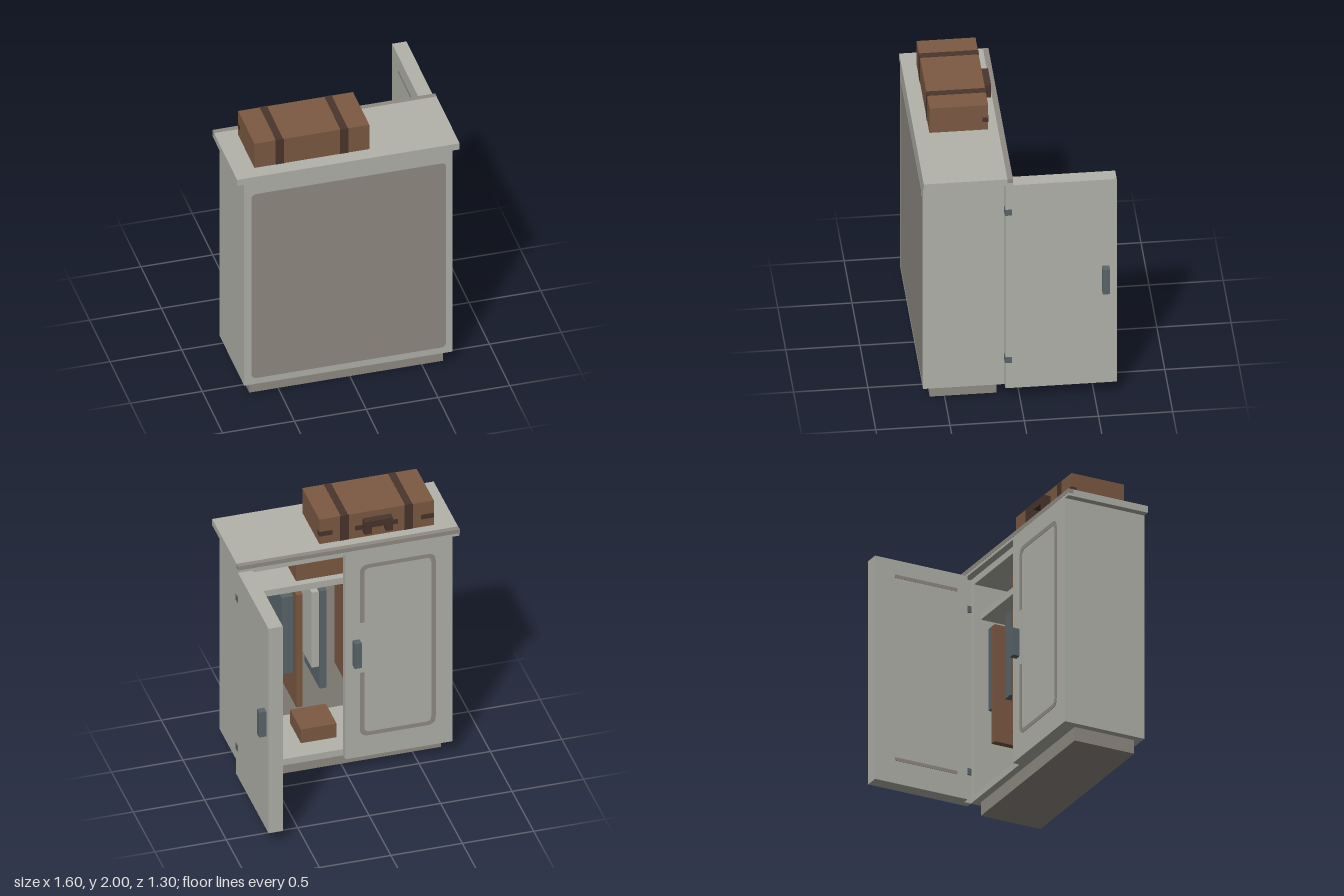
import * as THREE from 'three';

const mat = (name, color) => {
  const m = new THREE.MeshStandardMaterial({ color });
  m.name = name;
  return m;
};

export function createModel() {
  const pale = mat('pale painted wood', 0xb3b3ac);
  const taupe = mat('taupe panel', 0x918b84);
  const leather = mat('brown leather', 0x7d5a43);
  const dark = mat('dark brown strap', 0x4a352c);
  const slate = mat('slate metal', 0x5a666b);

  const model = new THREE.Group();
  model.name = 'wardrobe';
  const group = (name) => {
    const g = new THREE.Group();
    g.name = name;
    model.add(g);
    return g;
  };
  // Box given by its minimum and maximum on each axis
  const box = (parent, name, m, x0, x1, y0, y1, z0, z1) => {
    const mesh = new THREE.Mesh(new THREE.BoxGeometry(x1 - x0, y1 - y0, z1 - z0), m);
    mesh.position.set((x0 + x1) / 2, (y0 + y1) / 2, (z0 + z1) / 2);
    mesh.name = name;
    parent.add(mesh);
    return mesh;
  };
  const rounded = (Type, w, h, r) => {
    const s = new Type(), a = w / 2, b = h / 2;
    s.moveTo(-a + r, -b);
    s.lineTo(a - r, -b);
    s.quadraticCurveTo(a, -b, a, -b + r);
    s.lineTo(a, b - r);
    s.quadraticCurveTo(a, b, a - r, b);
    s.lineTo(-a + r, b);
    s.quadraticCurveTo(-a, b, -a, b - r);
    s.lineTo(-a, -b + r);
    s.quadraticCurveTo(-a, -b, -a + r, -b);
    return s;
  };
  const plate = (parent, name, m, shape, x, y, z) => {
    const geo = new THREE.ExtrudeGeometry(shape, { depth: 0.004, bevelEnabled: false, curveSegments: 6 });
    geo.translate(0, 0, -0.002);
    const mesh = new THREE.Mesh(geo, m);
    mesh.position.set(x, y, z);
    mesh.name = name;
    parent.add(mesh);
    return mesh;
  };

  // Cabinet shell
  const cabinet = group('cabinet');
  box(cabinet, 'plinth', taupe, -0.7, 0.65, 0, 0.1, 0.15, 0.6);
  box(cabinet, 'floor', pale, -0.7, 0.65, 0.1, 0.15, 0.1, 0.645);
  box(cabinet, 'ceiling', pale, -0.7, 0.65, 1.7, 1.75, 0.1, 0.645);
  box(cabinet, 'rightWall', pale, -0.75, -0.7, 0.1, 1.75, 0.1, 0.65);
  box(cabinet, 'leftWall', pale, 0.65, 0.7, 0.1, 1.75, 0.1, 0.65);
  box(cabinet, 'backPanel', pale, -0.7, 0.65, 0.1, 1.75, 0.61, 0.65);
  box(cabinet, 'innerBackLining', taupe, -0.7, 0.65, 0.15, 1.7, 0.604, 0.61);
  plate(cabinet, 'backInset', taupe, rounded(THREE.Shape, 1.355, 1.51, 0.04), -0.0225, 0.905, 0.651);
  box(cabinet, 'topSlab', pale, -0.8, 0.75, 1.75, 1.8, 0.05, 0.65);
  box(cabinet, 'topSlabTrim', taupe, -0.801, 0.751, 1.77, 1.801, 0.049, 0.086);
  box(cabinet, 'shelf', pale, -0.7, 0.65, 1.45, 1.5, 0.15, 0.605);

  // Closed door with its inlaid border, interrupted beside the handle
  const closedDoor = group('closedDoor');
  box(closedDoor, 'doorPanel', pale, -0.75, 0, 0.1, 1.75, 0.05, 0.1);
  const border = rounded(THREE.Shape, 0.53, 1.38, 0.06);
  border.holes.push(rounded(THREE.Path, 0.47, 1.32, 0.04));
  plate(closedDoor, 'inlayBorder', taupe, border, -0.367, 0.955, 0.049);
  box(closedDoor, 'inlayGap', pale, -0.135, -0.098, 0.78, 1.18, 0.046, 0.052);
  box(closedDoor, 'handle', slate, -0.1, -0.05, 0.85, 1.05, 0, 0.05);

  // Open door, swung out square to the cabinet
  const openDoor = group('openDoor');
  box(openDoor, 'doorPanelOuter', pale, 0.7, 0.75, 0.1, 1.75, -0.65, 0.1);
  box(openDoor, 'doorPanelInner', pale, 0.65, 0.7, 0.1, 1.75, -0.65, 0.05);
  box(openDoor, 'handle', slate, 0.75, 0.8, 0.85, 1.05, -0.6, -0.55);
  for (const y of [0.28, 1.63]) box(openDoor, 'inlayLine', taupe, 0.647, 0.651, y - 0.012, y + 0.012, -0.5, -0.03);
  for (const y of [0.33, 1.53]) box(openDoor, 'hinge', slate, 0.69, 0.754, y - 0.023, y + 0.023, 0.055, 0.104);

  // Hanging rail and clothes: x, half thickness, bottom, material
  const clothes = group('clothes');
  const rail = new THREE.Mesh(new THREE.CylinderGeometry(0.015, 0.015, 1.35, 10), slate);
  rail.rotation.z = Math.PI / 2;
  rail.position.set(-0.025, 1.42, 0.375);
  rail.name = 'hangingRail';
  clothes.add(rail);
  const garments = [
    [0.615, 0.02, 0.78, slate], [0.57, 0.024, 0.52, leather], [0.36, 0.04, 0.77, slate],
    [0.275, 0.022, 0.48, leather], [0.165, 0.025, 0.78, pale], [0.11, 0.025, 0.6, slate],
    [-0.1, 0.025, 0.55, leather], [-0.28, 0.03, 0.75, slate], [-0.48, 0.025, 0.6, pale],
  ];
  for (const [x, t, bottom, m] of garments) {
    box(clothes, 'garment', m, x - t, x + t, bottom, 1.385, 0.2, 0.55);
    box(clothes, 'hangerHook', slate, x - 0.006, x + 0.006, 1.38, 1.43, 0.365, 0.385);
  }

  // Stored boxes
  const storage = group('storedBoxes');
  box(storage, 'shelfBox', leather, -0.1, 0.3, 1.5, 1.66, 0.2, 0.5);
  box(storage, 'floorBox', leather, 0, 0.25, 0.15, 0.26, 0.25, 0.5);

  // Suitcase on top
  const suitcase = group('suitcase');
  box(suitcase, 'suitcaseBody', leather, -0.65, 0.15, 1.8, 1.998, 0.152, 0.548);
  for (const x of [-0.475, -0.025]) {
    box(suitcase, 'strapTop', dark, x - 0.025, x + 0.025, 1.994, 2, 0.15, 0.55);
    for (const z of [0.152, 0.548]) box(suitcase, 'strapSide', dark, x - 0.03, x + 0.03, 1.8, 1.999, z - 0.002, z + 0.002);
  }
  for (const [x0, x1] of [[0.06, 0.152], [-0.16, -0.1], [-0.4, -0.34], [-0.652, -0.56]])
    box(suitcase, 'seamBand', dark, x0, x1, 1.862, 1.898, 0.149, 0.154);
  for (const x of [-0.65, 0.15]) box(suitcase, 'seamBandEnd', dark, x - 0.002, x + 0.002, 1.862, 1.898, 0.15, 0.19);
  box(suitcase, 'handleBar', dark, -0.35, -0.15, 1.9, 1.95, 0.1, 0.152);
  for (const x of [-0.325, -0.175]) box(suitcase, 'handleLeg', dark, x - 0.025, x + 0.025, 1.85, 1.9, 0.1, 0.152);

  return model;
}
